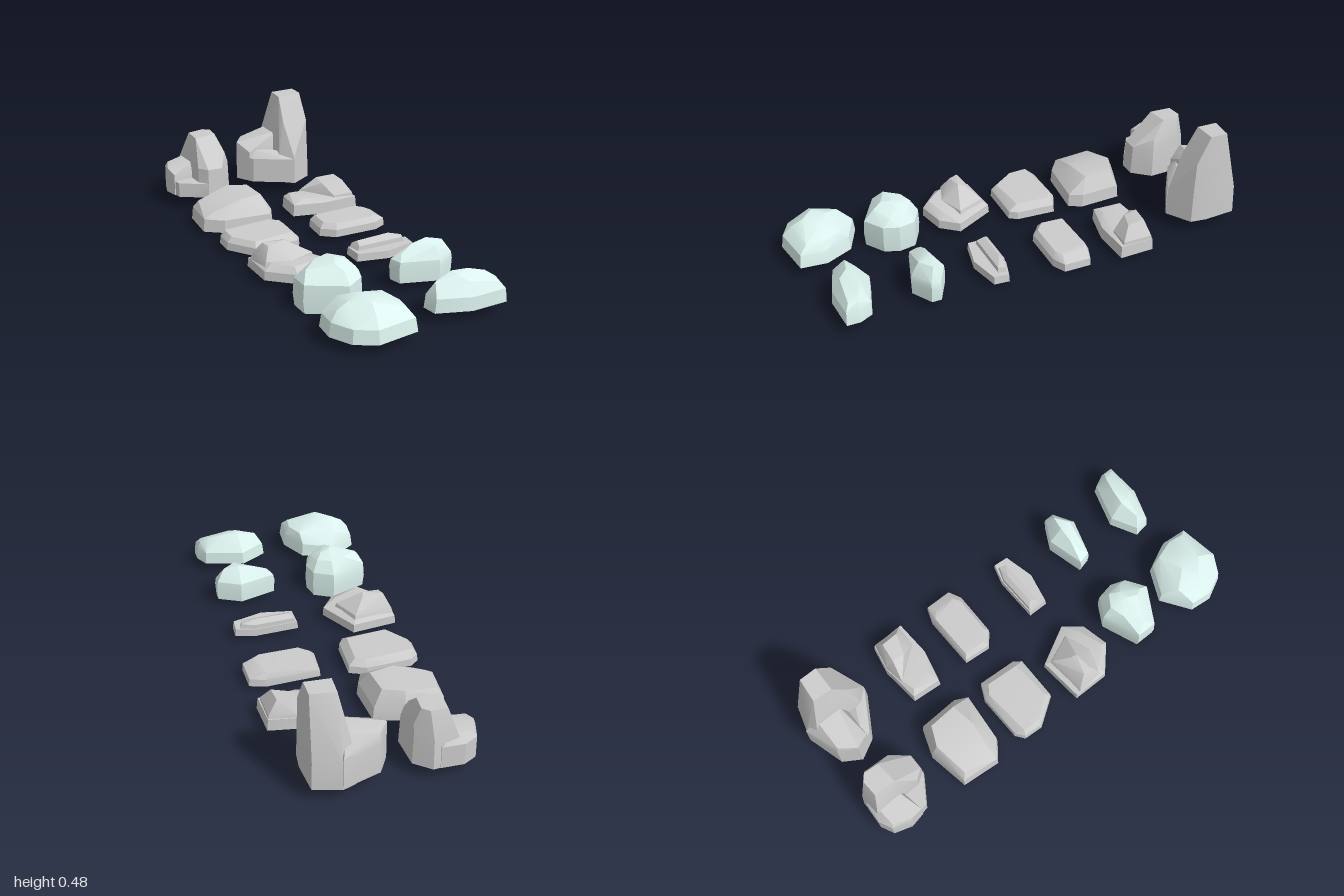
import * as THREE from 'three';
import { ConvexGeometry } from 'three/addons/geometries/ConvexGeometry.js';
import { mergeGeometries, toCreasedNormals } from 'three/addons/utils/BufferGeometryUtils.js';

const stone = new THREE.MeshStandardMaterial({ color: 0xcccccc });
const paleStone = new THREE.MeshStandardMaterial({ color: 0xdcf2ee });

// One chunk: an [x, z] outline repeated at each [y, scale] layer, closed by [x, y, z] crown points
function chunk(outline, layers, crown = []) {
  const cx = outline.reduce((s, p) => s + p[0], 0) / outline.length;
  const cz = outline.reduce((s, p) => s + p[1], 0) / outline.length;
  const points = crown.map((p) => new THREE.Vector3(...p));
  for (const [y, s] of layers) {
    for (const [x, z] of outline) points.push(new THREE.Vector3(cx + (x - cx) * s, y, cz + (z - cz) * s));
  }
  return new ConvexGeometry(points);
}

// A rock made of one or more overlapping chunks
function rock(name, material, ...chunks) {
  const mesh = new THREE.Mesh(toCreasedNormals(mergeGeometries(chunks), 0.42), material);
  mesh.name = name;
  return mesh;
}

export function createModel() {
  const group = new THREE.Group();
  group.name = 'rockSet';

  // Pale domed rocks, front row
  group.add(rock('frontRightDomeRock', paleStone, chunk(
    [[-.26, .66], [-.12, .725], [-.06, .85], [-.07, .97], [-.26, 1], [-.35, .95], [-.4, .85], [-.39, .75]],
    [[.05, 1], [.11, .95]],
    [[-.36, .152, .84], [-.3, .155, .73], [-.12, .155, .77], [-.09, .145, .86], [-.1, .145, .93], [-.25, .155, .95],
      [-.31, .18, .84], [-.24, .187, .8], [-.17, .18, .84], [-.24, .185, .9]])));
  group.add(rock('frontLeftDomeRock', paleStone, chunk(
    [[.06, .8], [.18, .735], [.36, .79], [.39, .85], [.39, .91], [.22, .92], [.07, .87]],
    [[.05, 1], [.11, .96]],
    [[.1, .165, .82], [.19, .187, .8], [.26, .187, .81], [.33, .172, .83], [.37, .145, .85], [.36, .14, .89],
      [.22, .165, .88], [.19, .185, .84]])));

  // Pale domed rocks, second row
  group.add(rock('secondRightDomeRock', paleStone, chunk(
    [[-.18, .38], [-.09, .43], [-.075, .51], [-.1, .58], [-.19, .64], [-.355, .545], [-.355, .45]],
    [[.003, .96], [.06, 1], [.13, .97]],
    [[-.32, .175, .5], [-.25, .187, .44], [-.18, .19, .42], [-.12, .18, .46], [-.11, .165, .54], [-.19, .18, .59],
      [-.19, .205, .5], [-.15, .198, .5], [-.21, .197, .55]])));
  group.add(rock('secondLeftDomeRock', paleStone, chunk(
    [[.09, .475], [.265, .43], [.37, .485], [.37, .53], [.275, .587], [.105, .535]],
    [[.035, .97], [.1, 1], [.13, .96]],
    [[.13, .155, .505], [.19, .187, .49], [.26, .202, .49], [.33, .187, .505], [.27, .185, .55]])));

  // Low ridged rocks
  group.add(rock('ridgedRightRock', stone,
    chunk([[-.38, .06], [-.17, .04], [-.075, .22], [-.14, .3], [-.27, .33], [-.38, .23]],
      [[.03, 1], [.07, .98]], [[-.27, .1, .3], [-.34, .1, .22], [-.15, .09, .26], [-.21, .1, .1]]),
    chunk([[-.38, .08], [-.18, .06], [-.12, .2], [-.25, .25], [-.37, .21]],
      [[.06, 1], [.1, .9]], [[-.34, .16, .13], [-.33, .155, .17], [-.25, .165, .16], [-.24, .155, .13]])));
  group.add(rock('ridgedLeftRock', stone,
    chunk([[.065, .15], [.27, .145], [.36, .17], [.355, .24], [.21, .275], [.065, .245]],
      [[.03, 1], [.065, .97]]),
    chunk([[.07, .155], [.27, .15], [.34, .175], [.33, .21], [.08, .215]],
      [[.05, 1], [.085, .9]], [[.1, .1, .18], [.26, .105, .175]])));

  // Flat slab rocks
  group.add(rock('slabRightRock', stone, chunk(
    [[-.38, -.24], [-.34, -.27], [-.13, -.275], [-.055, -.24], [-.065, -.06], [-.09, -.025], [-.3, -.025], [-.385, -.15]],
    [[.025, 1], [.06, .98]],
    [[-.36, .088, -.23], [-.13, .09, -.25], [-.09, .088, -.22], [-.1, .088, -.07], [-.29, .085, -.05], [-.36, .085, -.15]])));
  group.add(rock('slabLeftRock', stone, chunk(
    [[.07, -.225], [.32, -.23], [.39, -.205], [.39, -.08], [.33, -.05], [.12, -.05], [.06, -.1]],
    [[.025, 1], [.06, .98]],
    [[.09, .085, -.21], [.31, .088, -.215], [.34, .085, -.19], [.34, .085, -.09], [.31, .085, -.07], [.13, .085, -.07], [.085, .085, -.11]])));

  // Humped rocks
  group.add(rock('humpRightRock', stone, chunk(
    [[-.375, -.585], [-.185, -.62], [-.055, -.575], [-.045, -.385], [-.075, -.325], [-.31, -.345], [-.39, -.405]],
    [[.02, 1], [.08, .97]],
    [[-.35, .115, -.56], [-.19, .155, -.59], [-.1, .155, -.55], [-.09, .15, -.42], [-.2, .15, -.4], [-.34, .105, -.41]])));
  group.add(rock('humpLeftRock', stone,
    chunk([[.075, -.52], [.26, -.54], [.39, -.515], [.395, -.355], [.22, -.345], [.065, -.38]],
      [[.02, 1], [.075, .97]], [[.1, .095, -.5], [.13, .095, -.4]]),
    chunk([[.16, -.52], [.26, -.535], [.385, -.51], [.385, -.37], [.28, -.37]],
      [[.05, 1], [.09, .97]], [[.25, .15, -.5], [.34, .155, -.49], [.345, .15, -.41], [.25, .14, -.44]])));

  // Short standing rock with a side shoulder and a low ledge
  group.add(rock('shortStandingRock', stone,
    chunk([[-.28, -.98], [-.17, -.985], [-.1, -.925], [-.093, -.78], [-.16, -.7], [-.235, -.7], [-.27, -.75]],
      [[.06, 1], [.2, .95]],
      [[-.25, .25, -.79], [-.11, .25, -.79], [-.105, .25, -.91], [-.22, .255, -.955],
        [-.24, .325, -.84], [-.135, .33, -.85], [-.13, .33, -.92], [-.16, .33, -.945], [-.235, .325, -.94]]),
    chunk([[-.385, -.88], [-.36, -.96], [-.3, -.99], [-.2, -.985], [-.2, -.84], [-.37, -.81]],
      [[.06, 1], [.165, .99]], [[-.38, .183, -.87], [-.35, .187, -.95], [-.25, .21, -.96], [-.25, .21, -.85]]),
    chunk([[-.37, -.83], [-.36, -.78], [-.235, -.7], [-.2, -.8], [-.25, -.85]],
      [[.06, 1], [.13, .98]])));

  // Tall standing rock with a side shoulder and a low ledge
  group.add(rock('tallStandingRock', stone,
    chunk([[.15, -.98], [.21, -1], [.33, -.965], [.34, -.82], [.33, -.745], [.22, -.675], [.16, -.73]],
      [[.065, 1], [.2, .97]],
      [[.2, .36, -.755], [.325, .365, -.755], [.2, .395, -.785], [.322, .388, -.785], [.33, .27, -.93], [.2, .28, -.93],
        [.205, .48, -.82], [.32, .487, -.82], [.32, .487, -.9], [.21, .482, -.91]]),
    chunk([[-.01, -.87], [.04, -.95], [.21, -1], [.24, -.9], [.2, -.8], [.03, -.8]],
      [[.07, 1], [.22, .99]], [[-.007, .26, -.87], [.045, .262, -.94], [.19, .3, -.94], [.2, .3, -.83], [.03, .25, -.83]]),
    chunk([[-.005, -.86], [.04, -.78], [.22, -.675], [.24, -.8], [.06, -.87]],
      [[.07, 1], [.19, .97]], [[.06, .228, -.81], [.15, .225, -.77], [.21, .205, -.74]])));

  return group;
}
